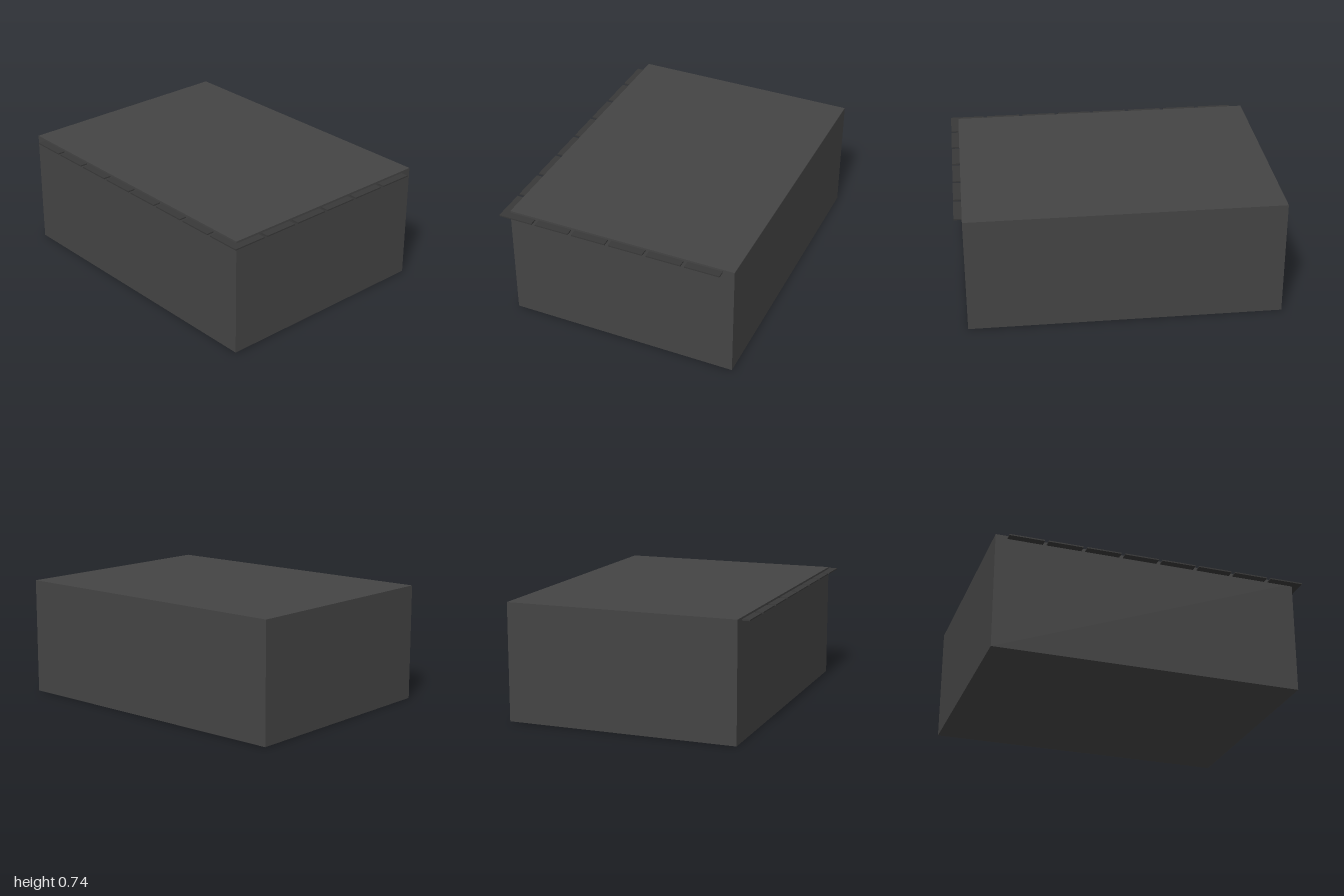
import * as THREE from 'three';

export function createModel() {
  const model = new THREE.Group();
  const bodyMaterial = new THREE.MeshStandardMaterial({ color: 0x444444 });
  const tileMaterial = new THREE.MeshStandardMaterial({ color: 0x383838 });

  // Solid block, set towards the left and the back
  const body = new THREE.Mesh(new THREE.BoxGeometry(1.463, 0.743, 1.951), bodyMaterial);
  body.name = 'body';
  body.position.set(0.0245, 0.3715, -0.0245);
  model.add(body);

  // Thin square tiles just below the top, overhanging the right and front edges
  const tiles = new THREE.Group();
  tiles.name = 'edgeTiles';
  const size = 0.22, pitch = 0.2437;
  const tileGeometry = new THREE.BoxGeometry(size, 0.008, size);
  const addTile = (column, row) => {
    const tile = new THREE.Mesh(tileGeometry, tileMaterial);
    tile.name = 'tile';
    tile.position.set(-0.756 + size / 2 + column * pitch, 0.727, 1 - size / 2 - row * pitch);
    tiles.add(tile);
  };
  for (let column = 0; column < 6; column++) addTile(column, 0);
  for (let row = 1; row < 8; row++) addTile(0, row);
  model.add(tiles);

  return model;
}
